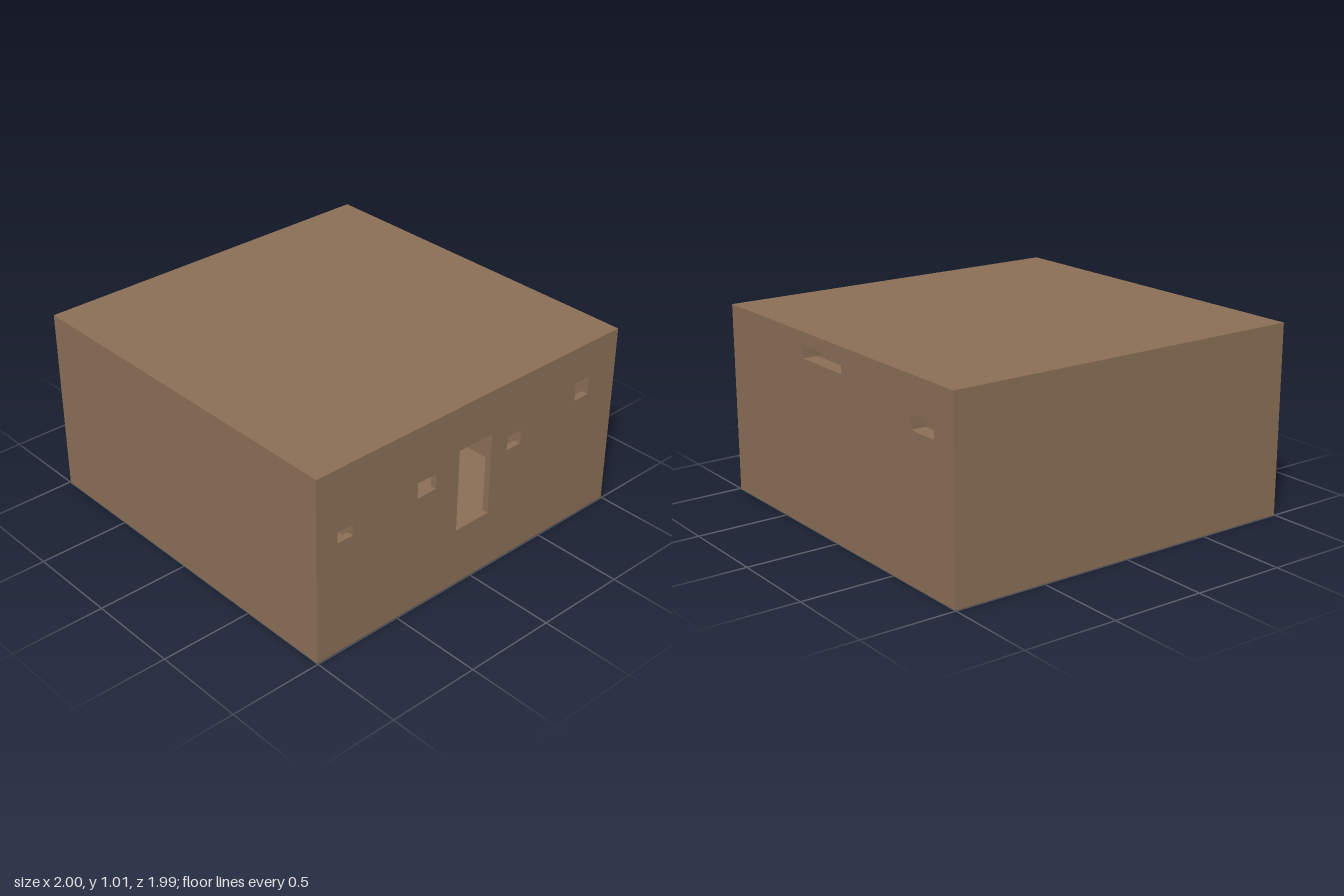
import * as THREE from 'three';

const W = 2, D = 1.99, H = 1.015; // outer size
const FLOOR = 0.32, CEIL = 0.97, DOOR_TOP = 0.775;

export function createModel() {
  const model = new THREE.Group();
  const clay = new THREE.MeshStandardMaterial({ color: 0x8b6f56 });
  clay.name = 'clayBrown';

  const add = (name, geometry) => {
    const mesh = new THREE.Mesh(geometry, clay);
    mesh.name = name;
    model.add(mesh);
    return mesh;
  };

  // Box given by its lower and upper corners
  const block = (name, x0, x1, y0, y1, z0, z1) => {
    const mesh = add(name, new THREE.BoxGeometry(x1 - x0, y1 - y0, z1 - z0));
    mesh.position.set((x0 + x1) / 2, (y0 + y1) / 2, (z0 + z1) / 2);
    return mesh;
  };

  // Wall with rectangular openings [u0, u1, v0, v1]
  const wall = (name, u0, u1, v0, v1, thickness, openings) => {
    const rect = (path, a, b, c, d) =>
      path.moveTo(a, c).lineTo(b, c).lineTo(b, d).lineTo(a, d).lineTo(a, c);
    const shape = rect(new THREE.Shape(), u0, u1, v0, v1);
    for (const o of openings) shape.holes.push(rect(new THREE.Path(), ...o));
    return add(name, new THREE.ExtrudeGeometry(shape, { depth: thickness, bevelEnabled: false }));
  };

  // Solid base and roof
  block('base', -W / 2, W / 2, 0, FLOOR, -D / 2, D / 2);
  block('roof', -W / 2, W / 2, CEIL, H, -D / 2, D / 2);

  // Front wall with the doorway and four windows
  const front = wall('frontWall', -W / 2, W / 2, 0, H, 0.035, [
    [-0.11, 0.11, FLOOR, DOOR_TOP],
    [-0.875, -0.785, 0.62, 0.68],
    [-0.38, -0.26, 0.63, 0.715],
    [0.22, 0.315, 0.635, 0.71],
    [0.705, 0.805, 0.715, 0.815],
  ]);
  front.position.z = D / 2 - 0.035;

  // Side wall on +x with a long slot and a small window
  const side = wall('leftWall', -D / 2, D / 2, 0, H, 0.08, [
    [-0.275, 0.08, 0.88, 0.95],
    [0.665, 0.845, 0.755, 0.83],
  ]);
  side.rotation.y = Math.PI / 2;
  side.position.x = W / 2 - 0.08;

  // Plain walls
  block('rightWall', -W / 2, -W / 2 + 0.04, 0, H, -D / 2, D / 2);
  block('backWall', -W / 2, W / 2, 0, H, -D / 2, -D / 2 + 0.04);

  // Inner partitions: a cross wall with doorways and two room dividers
  const cross = wall('crossPartition', -0.96, 0.92, FLOOR, CEIL, 0.04, [
    [-0.84, -0.62, FLOOR + 0.001, DOOR_TOP],
    [-0.18, 0.04, FLOOR + 0.001, DOOR_TOP],
    [0.54, 0.76, FLOOR + 0.001, DOOR_TOP],
  ]);
  cross.position.z = -0.15;
  for (const x of [-0.5, 0.5]) {
    block('roomDivider', x - 0.04, x, FLOOR, CEIL, -0.11, D / 2 - 0.035);
  }

  return model;
}
